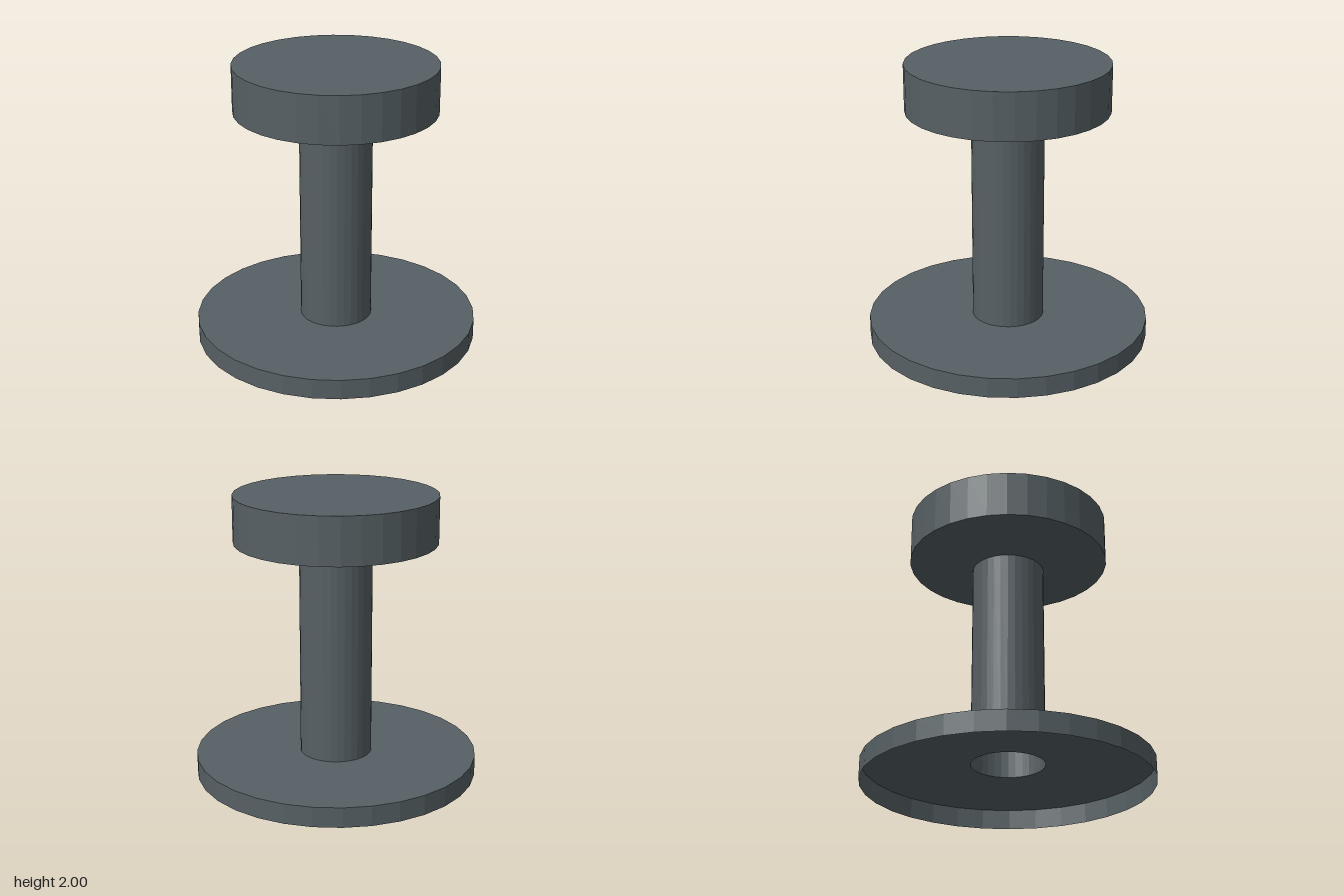
import * as THREE from 'three';

const SIDES = 32;

export function createModel() {
  const group = new THREE.Group();
  group.name = 'pedestal';

  // Double-sided because the parts are thin, open shells
  const slate = new THREE.MeshStandardMaterial({ color: 0x566064, side: THREE.DoubleSide });
  slate.name = 'slate grey';

  // Turned part with flat facets, profile listed bottom to top as [radius, height]
  function turned(name, profile) {
    const points = profile.map(([r, y]) => new THREE.Vector2(r, y));
    const geometry = new THREE.LatheGeometry(points, SIDES).toNonIndexed();
    geometry.computeVertexNormals();
    const mesh = new THREE.Mesh(geometry, slate);
    mesh.name = name;
    group.add(mesh);
  }

  // Wide foot: a rim and a top plate, open underneath
  turned('base', [[0.995, 0], [0.995, 0.142], [0.253, 0.142]]);
  // Hollow shaft, open into the underside of the foot
  turned('shaft', [[0.253, 0.142], [0.253, 1.613]]);
  // Head with a shallow conical underside and flat top
  turned('head', [[0.253, 1.613], [0.705, 1.671], [0.705, 2], [0, 2]]);

  return group;
}
